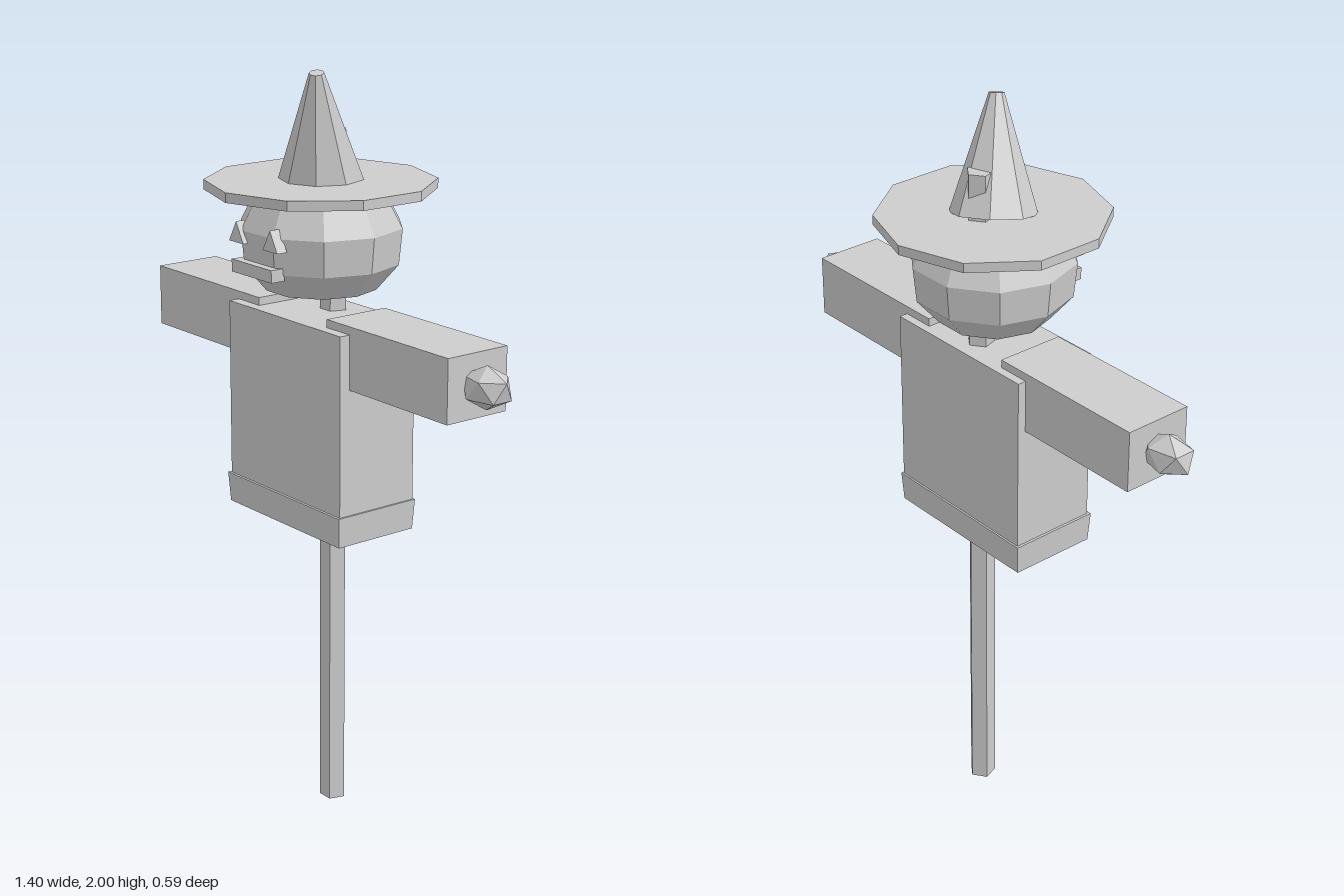
import * as THREE from 'three';

const grey = new THREE.MeshStandardMaterial({ color: 0xcccccc, flatShading: true });
grey.name = 'light grey';

export function createModel() {
  const model = new THREE.Group();
  model.name = 'scarecrow';

  function add(name, geometry, x = 0, y = 0, z = 0) {
    const mesh = new THREE.Mesh(geometry, grey);
    mesh.name = name;
    mesh.position.set(x, y, z);
    model.add(mesh);
    return mesh;
  }

  // Five-sided pole, its upper end poking out behind the hat
  add('pole', new THREE.CylinderGeometry(0.036, 0.036, 1.84, 5, 1, false, Math.PI), -0.002, 0.92, -0.044);

  // Shirt body with a hem that narrows slightly at the bottom
  add('shirt', new THREE.BoxGeometry(0.462, 0.54, 0.238), 0, 1.11, 0.002);
  const hem = new THREE.BoxGeometry(0.474, 0.08, 0.25);
  const p = hem.attributes.position;
  for (let i = 0; i < p.count; i++) {
    if (p.getY(i) < 0) {
      p.setX(i, p.getX(i) * 0.98);
      p.setZ(i, p.getZ(i) * 0.96);
    }
  }
  add('hem', hem, -0.001, 0.87, 0.003);

  // Sleeves, hands and eyes on both sides
  const eyeShape = new THREE.Shape([[-0.03, 0], [0.03, 0], [0, 0.053]].map(([x, y]) => new THREE.Vector2(x, y)));
  for (const [side, s] of [['left', 1], ['right', -1]]) {
    add(side + 'Sleeve', new THREE.BoxGeometry(0.455, 0.162, 0.186), s * 0.368, 1.32, -0.001);

    const hand = new THREE.IcosahedronGeometry(1, 0);
    hand.rotateZ(-Math.atan(2 / (1 + Math.sqrt(5)))); // one corner straight up
    hand.scale(0.076, 0.055, 0.055);
    add(side + 'Hand', hand, s * 0.63, 1.322, 0);

    const eye = new THREE.ExtrudeGeometry(eyeShape, { depth: 0.03, bevelEnabled: false });
    add(side + 'Eye', eye, s * 0.07, 1.575, 0.183);
  }
  add('mouth', new THREE.BoxGeometry(0.165, 0.032, 0.04), -0.002, 1.515, 0.197);

  // Squat ten-sided pumpkin head
  const profile = [[0, 1.43], [0.06, 1.431], [0.145, 1.445], [0.203, 1.513], [0.212, 1.605], [0.175, 1.675], [0.115, 1.697], [0, 1.7]]
    .map(([r, y]) => new THREE.Vector2(r, y));
  add('head', new THREE.LatheGeometry(profile, 10, Math.PI / 10));

  // Hat: flat brim and a crown leaning forward and to the left
  add('hatBrim', new THREE.CylinderGeometry(0.294, 0.294, 0.025, 10), 0, 1.708, 0);
  const base = new THREE.Vector3(0, 1.715, 0);
  const tip = new THREE.Vector3(0.057, 1.995, 0.058);
  const axis = tip.clone().sub(base);
  const crown = add('hatCrown', new THREE.CylinderGeometry(0.019, 0.11, axis.length(), 8));
  crown.position.copy(base).add(tip).multiplyScalar(0.5);
  crown.quaternion.setFromUnitVectors(new THREE.Vector3(0, 1, 0), axis.normalize());

  return model;
}
